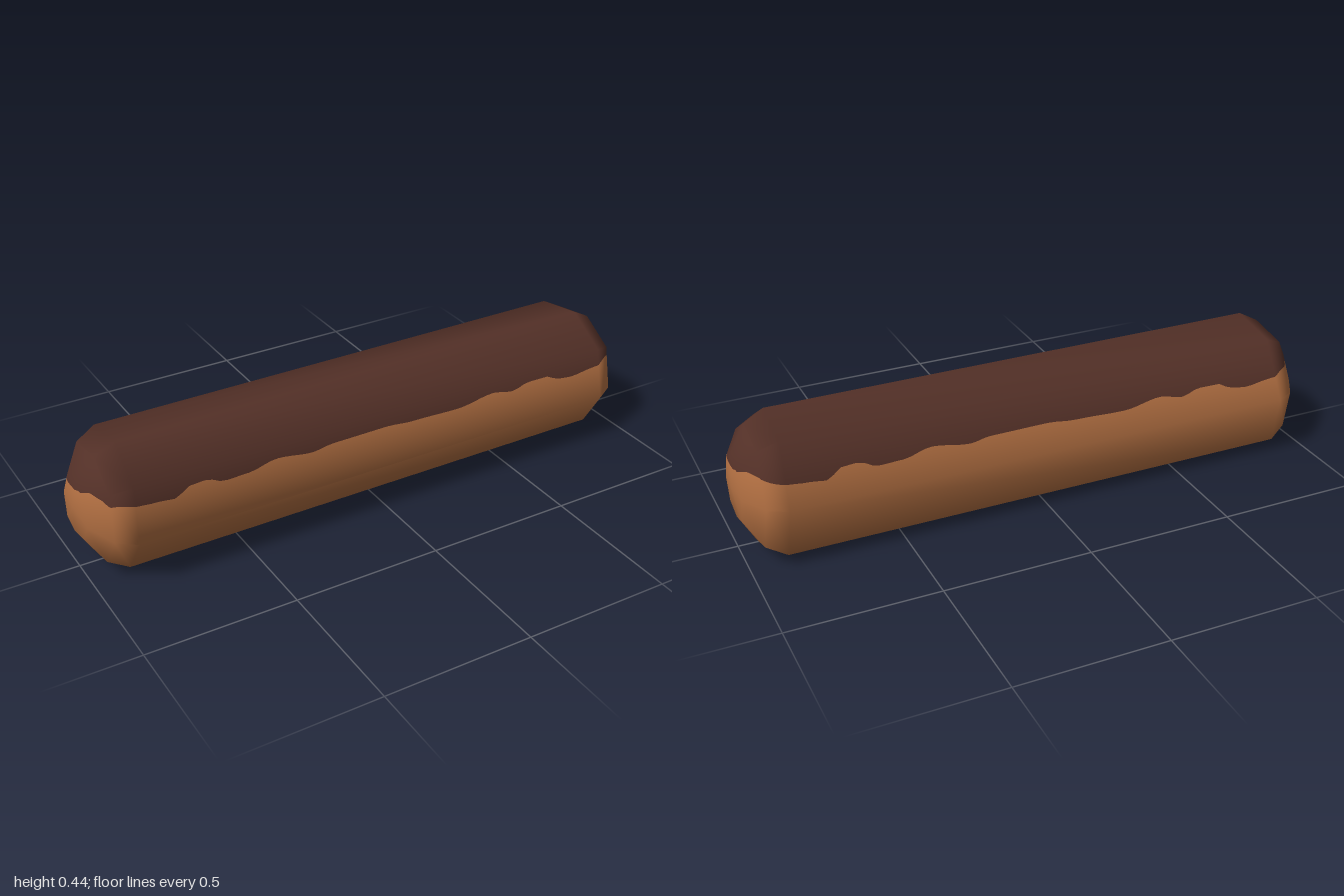
import * as THREE from 'three';

// Irregular eight-sided cross-section of the bun, as [z, y]
const SECTION = [[0.055, 0.441], [-0.12, 0.412], [-0.218, 0.22], [-0.177, 0.043],
  [-0.04, 0.002], [0.133, 0.037], [0.219, 0.17], [0.19, 0.353]];
const CENTRE_Y = 0.22;
// Rings along the length, as [x, scale]
const HALF = [[0.875, 1], [0.94, 0.84], [0.992, 0.45]];
const RINGS = [...HALF.map(([x, s]) => [-x, s]).reverse(), ...HALF];

// Height of the icing's edge along the front (by x) and round the ends (by z)
const EDGE_SIDE = [[-1, 0.295], [-0.95, 0.305], [-0.88, 0.293], [-0.8, 0.287], [-0.74, 0.281], [-0.7, 0.308],
  [-0.64, 0.311], [-0.58, 0.29], [-0.5, 0.292], [-0.4, 0.31], [-0.27, 0.295], [-0.2, 0.304], [0, 0.305],
  [0.1, 0.297], [0.28, 0.292], [0.42, 0.309], [0.5, 0.295], [0.57, 0.31], [0.65, 0.309], [0.69, 0.289],
  [0.75, 0.283], [0.85, 0.292], [0.95, 0.305], [1, 0.3]];
const EDGE_END = [[-0.22, 0.287], [-0.17, 0.287], [-0.13, 0.31], [-0.09, 0.312], [-0.05, 0.3], [0, 0.287],
  [0.05, 0.284], [0.1, 0.288], [0.13, 0.302], [0.22, 0.299]];

function sample(table, t) {
  let i = 0;
  while (i < table.length - 2 && t > table[i + 1][0]) i++;
  const [a, b] = [table[i], table[i + 1]];
  return THREE.MathUtils.lerp(a[1], b[1], THREE.MathUtils.smoothstep(t, a[0], b[0]));
}

function icingEdge(x, z) {
  const { lerp, smoothstep } = THREE.MathUtils;
  const side = lerp(sample(EDGE_SIDE, -x), sample(EDGE_SIDE, x), smoothstep(z, -0.1, 0.1));
  return lerp(side, sample(EDGE_END, x > 0 ? z : -z), smoothstep(Math.abs(x), 0.88, 0.97));
}

// Closed low-poly bun with smooth normals
function bunGeometry() {
  const pos = [], index = [], n = SECTION.length, last = (RINGS.length - 1) * n;
  for (const [x, s] of RINGS) {
    for (const [z, y] of SECTION) {
      const py = CENTRE_Y + (y - CENTRE_Y) * s;
      pos.push(x - Math.sign(x) * 0.045 * (py - CENTRE_Y), py, z * s);
    }
  }
  pos.push(-1, CENTRE_Y, 0, 1, CENTRE_Y, 0);
  for (let j = 0; j < n; j++) {
    const k = (j + 1) % n;
    for (let r = 0; r < last; r += n) {
      index.push(r + j, r + n + j, r + k, r + k, r + n + j, r + n + k);
    }
    index.push(last + n, j, k, last + n + 1, last + k, last + j);
  }
  const g = new THREE.BufferGeometry();
  g.setAttribute('position', new THREE.Float32BufferAttribute(pos, 3));
  g.setIndex(index);
  g.computeVertexNormals();
  return g;
}

// A vertex is [x, y, z, nx, ny, nz]
const mix = (a, b, t) => a.map((v, i) => v + (b[i] - v) * t);
const height = (v) => v[1] - icingEdge(v[0], v[2]);

// Keep the part of a triangle above (sign 1) or below (sign -1) the icing edge
function clip(tri, sign, out) {
  const poly = [];
  tri.forEach((a, i) => {
    const b = tri[(i + 1) % 3], da = height(a) * sign, db = height(b) * sign;
    if (da >= 0) poly.push(a);
    if (da * db < 0) poly.push(mix(a, b, da / (da - db)));
  });
  for (let i = 1; i + 1 < poly.length; i++) out.push(poly[0], poly[i], poly[i + 1]);
}

// Split a triangle into n * n smaller ones
function subdivide([a, b, c], n) {
  const at = (i, j) => a.map((v, k) => v + (b[k] - v) * i / n + (c[k] - v) * j / n);
  const tris = [];
  for (let i = 0; i < n; i++) {
    for (let j = 0; j < n - i; j++) {
      tris.push([at(i, j), at(i + 1, j), at(i, j + 1)]);
      if (i + j < n - 1) tris.push([at(i + 1, j), at(i + 1, j + 1), at(i, j + 1)]);
    }
  }
  return tris;
}

function toMesh(name, verts, material) {
  const g = new THREE.BufferGeometry();
  g.setAttribute('position', new THREE.Float32BufferAttribute(verts.flatMap((v) => v.slice(0, 3)), 3));
  g.setAttribute('normal', new THREE.Float32BufferAttribute(verts.flatMap((v) => v.slice(3)), 3));
  const mesh = new THREE.Mesh(g, material);
  mesh.name = name;
  return mesh;
}

export function createModel() {
  const pastry = new THREE.MeshStandardMaterial({ color: 0xb06e41 });
  pastry.name = 'golden pastry';
  const chocolate = new THREE.MeshStandardMaterial({ color: 0x533027 });
  chocolate.name = 'dark chocolate';

  const g = bunGeometry(), p = g.attributes.position, nm = g.attributes.normal;
  const vertex = (i) => [p.getX(i), p.getY(i), p.getZ(i), nm.getX(i), nm.getY(i), nm.getZ(i)];
  const icing = [], bun = [];
  for (let t = 0; t < g.index.count; t += 3) {
    const tri = [0, 1, 2].map((k) => vertex(g.index.getX(t + k)));
    const ys = tri.map((v) => v[1]), xs = tri.map((v) => v[0]);
    const crosses = Math.min(...ys) < 0.32 && Math.max(...ys) > 0.27;
    const long = Math.max(...xs) - Math.min(...xs) > 1;
    // Only faces that meet the icing edge need splitting
    for (const small of subdivide(tri, crosses ? (long ? 70 : 12) : 1)) {
      clip(small, 1, icing);
      clip(small, -1, bun);
    }
  }

  const model = new THREE.Group();
  model.name = 'icedPastry';
  model.add(toMesh('bun', bun, pastry), toMesh('icing', icing, chocolate));
  return model;
}
